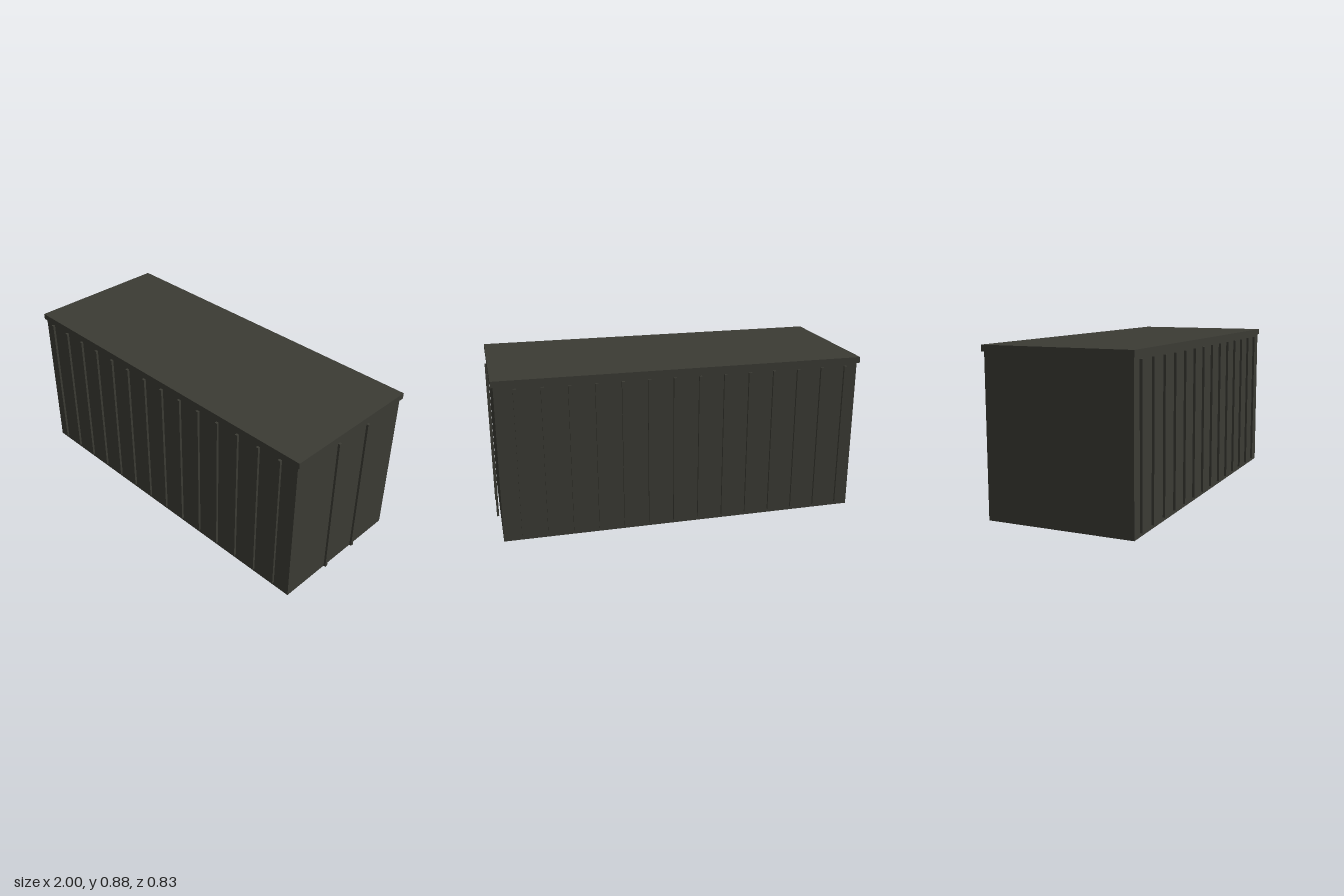
import * as THREE from 'three';

export function createModel() {
  const model = new THREE.Group();
  model.name = 'container';
  const paint = new THREE.MeshStandardMaterial({ color: 0x3b3b34 });
  paint.name = 'dark olive grey';

  // Box given by its minimum and maximum corners
  function box(name, [x0, y0, z0], [x1, y1, z1]) {
    const mesh = new THREE.Mesh(new THREE.BoxGeometry(x1 - x0, y1 - y0, z1 - z0), paint);
    mesh.position.set((x0 + x1) / 2, (y0 + y1) / 2, (z0 + z1) / 2);
    mesh.name = name;
    model.add(mesh);
  }

  // Main walls and the overhanging roof slab
  box('body', [-0.986, 0, -0.4], [0.978, 0.848, 0.4]);
  box('roof', [-1, 0.847, -0.408], [0.991, 0.88, 0.408]);

  // Vertical ribs along both long walls
  const ribs = 14;
  for (let i = 0; i < ribs; i++) {
    const x = -0.917 + i * 0.1378;
    box('frontRib', [x - 0.008, 0.021, 0.4], [x + 0.008, 0.834, 0.413]);
    box('backRib', [x - 0.008, 0.021, -0.413], [x + 0.008, 0.834, -0.4]);
  }

  // Two door bars standing just off the left end wall
  for (const z of [-0.112, 0.112]) {
    box('doorBar', [0.988, 0.018, z - 0.008], [1, 0.838, z + 0.008]);
  }
  return model;
}
